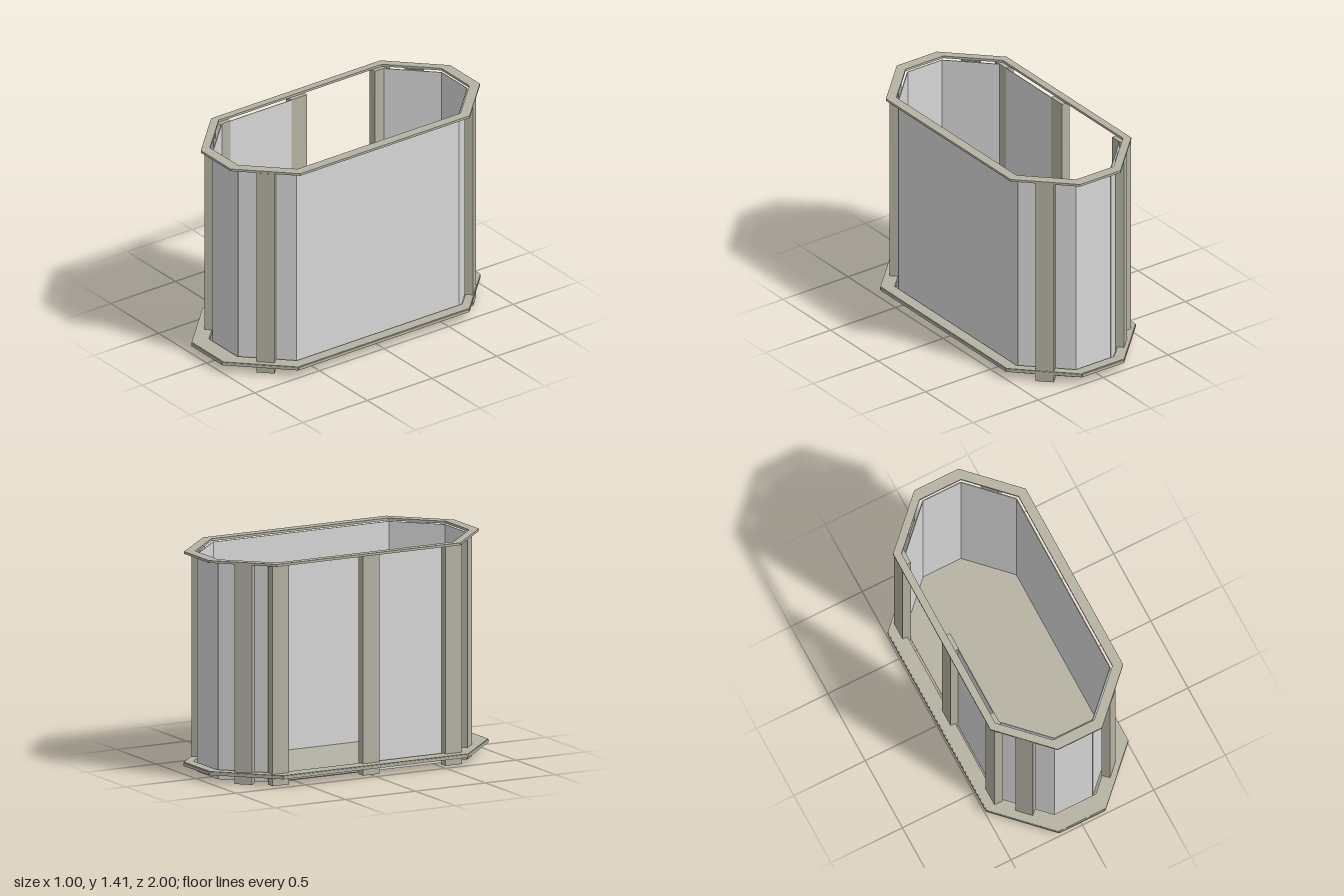
import * as THREE from 'three';

const frameMat = new THREE.MeshStandardMaterial({ color: 0xb5b2a3 });
frameMat.name = 'beige frame';
const wallMat = new THREE.MeshStandardMaterial({ color: 0xd8d8d8 });
wallMat.name = 'light grey panel';

// Octagon corners in x/z: half sizes hx, hz, corner cut c, centre cx, cz
function octagon(hx, hz, c, cx, cz) {
  return [
    [hx, hz - c], [hx - c, hz], [c - hx, hz], [-hx, hz - c],
    [-hx, c - hz], [c - hx, -hz], [hx - c, -hz], [hx, c - hz],
  ].map(([x, z]) => new THREE.Vector2(x + cx, z + cz));
}

// Flat plate between y0 and y1, with an optional opening
function plate(name, outer, inner, y0, y1) {
  const shape = new THREE.Shape(outer);
  if (inner) shape.holes.push(new THREE.Path(inner));
  const geo = new THREE.ExtrudeGeometry(shape, { depth: y1 - y0, bevelEnabled: false });
  geo.rotateX(Math.PI / 2);
  const mesh = new THREE.Mesh(geo, frameMat);
  mesh.name = name;
  mesh.position.y = y1;
  return mesh;
}

// Upright slab running between two plan points
function slab(name, a, b, thick, y0, y1, mat) {
  const mesh = new THREE.Mesh(new THREE.BoxGeometry(a.distanceTo(b), y1 - y0, thick), mat);
  mesh.name = name;
  mesh.position.set((a.x + b.x) / 2, (y0 + y1) / 2, (a.y + b.y) / 2);
  mesh.rotation.y = -Math.atan2(b.y - a.y, b.x - a.x);
  return mesh;
}

function post(name, x, z, w, d, angle) {
  const mesh = new THREE.Mesh(new THREE.BoxGeometry(w, 1.395, d), frameMat);
  mesh.name = name;
  mesh.position.set(x, 1.395 / 2, z);
  mesh.rotation.y = angle;
  return mesh;
}

export function createModel() {
  const model = new THREE.Group();
  model.name = 'octagonalCabin';
  const CX = 0.013, CZ = -0.024;

  // Top ring
  model.add(plate('topRing',
    octagon(0.465, 0.965, 0.31, CX, CZ), octagon(0.41, 0.896, 0.265, CX - 0.008, CZ), 1.395, 1.41));

  // Bottom ring: a plate with lips hanging below its inner and outer edges
  const rim = octagon(0.495, 0.993, 0.33, 0, 0);
  const inner = octagon(0.412, 0.905, 0.265, CX - 0.003, CZ);
  model.add(plate('bottomRing', rim, inner, 0.064, 0.075));
  model.add(plate('bottomInnerLip', octagon(0.42, 0.913, 0.268, CX - 0.003, CZ), inner, 0.045, 0.066));
  const lip = octagon(0.494, 0.994, 0.335, 0, 0);
  lip.forEach((a, i) => {
    model.add(slab('bottomOuterLip', a, lip[(i + 1) % 8], 0.012, 0.052, 0.071, frameMat));
  });

  // Floor
  const plan = octagon(0.39, 0.885, 0.257, 0.01, CZ);
  model.add(plate('floor', plan, null, 0.01, 0.016));

  // Wall panels on every side but the doorway side
  plan.forEach((a, i) => {
    if (i !== 3) model.add(slab('wallPanel', a, plan[(i + 1) % 8], 0.005, 0.01, 1.393, wallMat));
  });
  // Half panel beside the doorway
  model.add(slab('doorSidePanel', new THREE.Vector2(-0.38, 0.01), plan[3], 0.005, 0.01, 1.393, wallMat));

  // Posts on the four slanted corners
  for (const sx of [1, -1]) {
    for (const sz of [1, -1]) {
      model.add(post('cornerPost', 0.014 + sx * 0.291, -0.022 + sz * 0.789, 0.115, 0.056, sx * sz * Math.PI / 4));
    }
  }
  // Posts along the doorway side
  for (const z of [0.595, 0.005, -0.64]) {
    model.add(post('doorPost', -0.406, z, 0.058, 0.118, 0));
  }
  return model;
}
